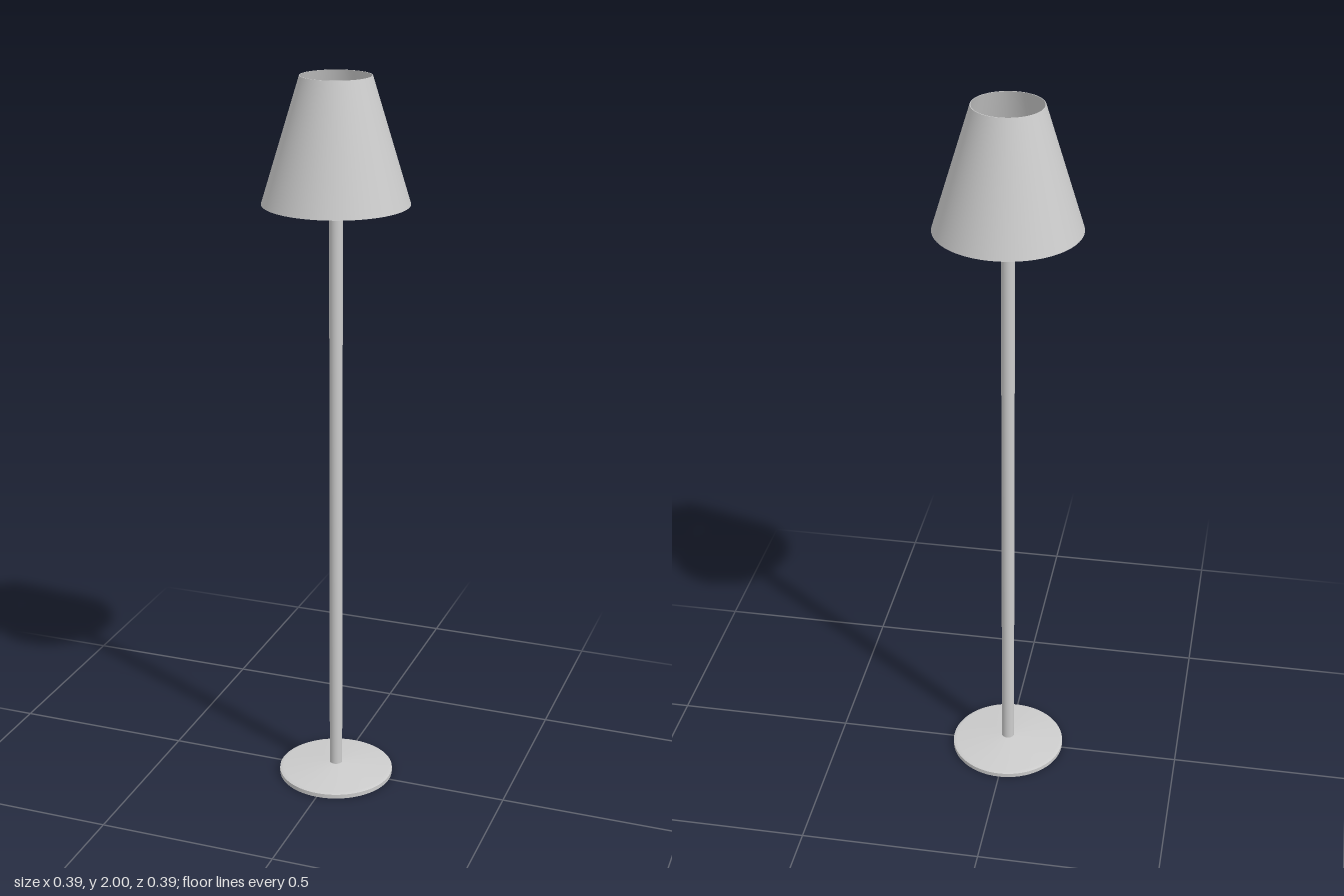
import * as THREE from 'three';

const material = new THREE.MeshStandardMaterial({ color: 0xcccccc, side: THREE.DoubleSide });

function add(group, name, geometry) {
  const mesh = new THREE.Mesh(geometry, material);
  mesh.name = name;
  group.add(mesh);
  return mesh;
}

// Lathe each straight run separately so the edges between runs stay sharp
function addTurned(group, name, runs, segments = 64) {
  const part = new THREE.Group();
  part.name = name;
  runs.forEach((run, i) => {
    const points = run.map(([r, y]) => new THREE.Vector2(r, y));
    add(part, `${name}Surface${i + 1}`, new THREE.LatheGeometry(points, segments));
  });
  group.add(part);
}

export function createModel() {
  const lamp = new THREE.Group();
  lamp.name = 'floorLamp';

  // Shallow conical foot with a hole for the pole
  addTurned(lamp, 'base', [
    [[0.018, 0], [0.162, 0]],
    [[0.162, 0], [0.162, 0.012]],
    [[0.162, 0.012], [0.152, 0.016], [0.03, 0.028], [0.017, 0.029]],
  ]);

  // Hollow pole, open at the bottom and closed at the top
  addTurned(lamp, 'pole', [
    [[0.012, 0], [0.018, 0]],
    [[0.018, 0], [0.018, 1.69]],
    [[0.018, 1.69], [0, 1.69]],
    [[0.012, 1.69], [0.012, 0]],
  ], 32);

  // Candle-shaped bulb with a narrow neck
  const bulbProfile = new THREE.SplineCurve([
    [0.011, 1.69], [0.012, 1.702], [0.019, 1.722], [0.017, 1.742], [0.008, 1.765], [0, 1.782],
  ].map(([r, y]) => new THREE.Vector2(r, y))).getPoints(24);
  bulbProfile[bulbProfile.length - 1].x = 0;
  add(lamp, 'bulb', new THREE.LatheGeometry(bulbProfile, 32));

  // Four spokes holding the shade
  const spokes = new THREE.Group();
  spokes.name = 'shadeSpokes';
  for (let i = 0; i < 4; i++) {
    const geometry = new THREE.CylinderGeometry(0.0035, 0.0035, 0.18, 12);
    geometry.rotateZ(Math.PI / 2).translate(0.1, 1.682, 0).rotateY((i * Math.PI) / 2);
    add(spokes, `spoke${i + 1}`, geometry);
  }
  lamp.add(spokes);

  // Thin tapered shade, open at both ends
  addTurned(lamp, 'shade', [
    [[0.195, 1.669], [0.094, 2]],
    [[0.094, 2], [0.092, 2]],
    [[0.092, 2], [0.193, 1.669]],
    [[0.193, 1.669], [0.195, 1.669]],
  ], 96);

  return lamp;
}
